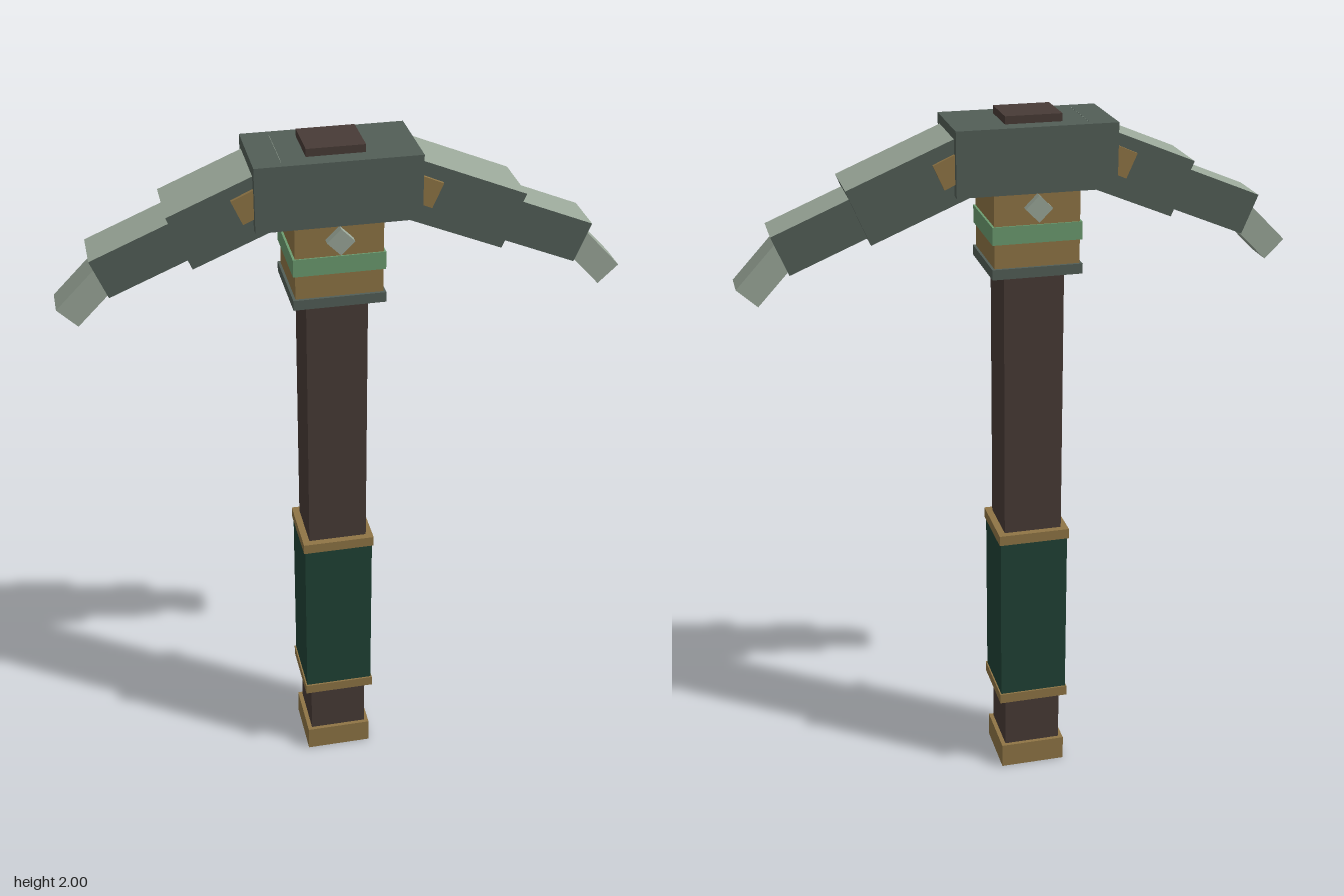
import * as THREE from 'three';

const mat = (name, color) => {
  const m = new THREE.MeshStandardMaterial({ color });
  m.name = name;
  return m;
};

export function createModel() {
  const group = new THREE.Group();
  const wood = mat('dark wood', 0x483b36);
  const grip = mat('dark green wrap', 0x204235);
  const brass = mat('brass', 0x8f7545);
  const iron = mat('dark iron', 0x525e57);
  const steel = mat('pale steel', 0x9aa799);
  const jade = mat('jade green', 0x6c9c70);
  const CX = -0.031; // the shaft sits a little off centre

  const box = (name, material, w, h, d, x, y, z = 0, rot = 0) => {
    const mesh = new THREE.Mesh(new THREE.BoxGeometry(w, h, d), material);
    mesh.name = name;
    mesh.position.set(x, y, z);
    mesh.rotation.z = rot;
    group.add(mesh);
    return mesh;
  };
  // box stacked on the shaft between two heights
  const stacked = (name, material, w, d, y0, y1) =>
    box(name, material, w, y1 - y0, d, CX, (y0 + y1) / 2);

  // handle
  stacked('pommel', brass, 0.192, 0.18, 0, 0.074);
  stacked('shaft', wood, 0.167, 0.157, 0.05, 1.9);
  stacked('shaftTop', wood, 0.154, 0.136, 1.9, 2);
  stacked('grip', grip, 0.198, 0.186, 0.25, 0.785);
  stacked('lowerGripBand', brass, 0.206, 0.196, 0.234, 0.264);
  stacked('upperGripBand', brass, 0.206, 0.196, 0.769, 0.799);

  // collar under the head
  stacked('collarRim', iron, 0.248, 0.236, 1.577, 1.605);
  stacked('collar', brass, 0.234, 0.22, 1.6, 1.83);
  stacked('collarBand', jade, 0.246, 0.228, 1.671, 1.72);

  // head block
  stacked('head', iron, 0.434, 0.231, 1.804, 1.979);

  // diamond studs, front and back
  for (const s of [1, -1])
    box('stud', steel, 0.052, 0.052, 0.04, CX, 1.767, s * 0.112, Math.PI / 4);

  // an arm piece ends at (x, y) and runs back up toward the head
  const armPiece = (name, material, side, x, y, deg, len, h, d) => {
    const a = THREE.MathUtils.degToRad(deg);
    box(name, material, len, h, d,
      x - side * Math.cos(a) * len / 2, y + Math.sin(a) * len / 2, 0, -side * a);
  };
  // iron sides with a pale top face
  const ironPaleTop = [iron, iron, steel, iron, iron, iron];
  const arms = [
    { side: -1, inner: [-0.439, 1.783], outer: [-0.646, 1.692], tip: [-0.734, 1.58], tipDeg: 45 },
    { side: 1, inner: [0.44, 1.762], outer: [0.644, 1.669], tip: [0.734, 1.555], tipDeg: 47 },
  ];
  for (const { side, inner, outer, tip, tipDeg } of arms) {
    armPiece('innerArm', ironPaleTop, side, ...inner, 22.5, 0.32, 0.16, 0.181);
    armPiece('outerArm', ironPaleTop, side, ...outer, 22.5, 0.27, 0.115, 0.135);
    armPiece('tip', steel, side, ...tip, tipDeg, 0.18, 0.075, 0.09);
    armPiece('armBracket', brass, side, CX + side * 0.26, 1.857, 24, 0.1, 0.072, 0.2);
  }
  return group;
}
